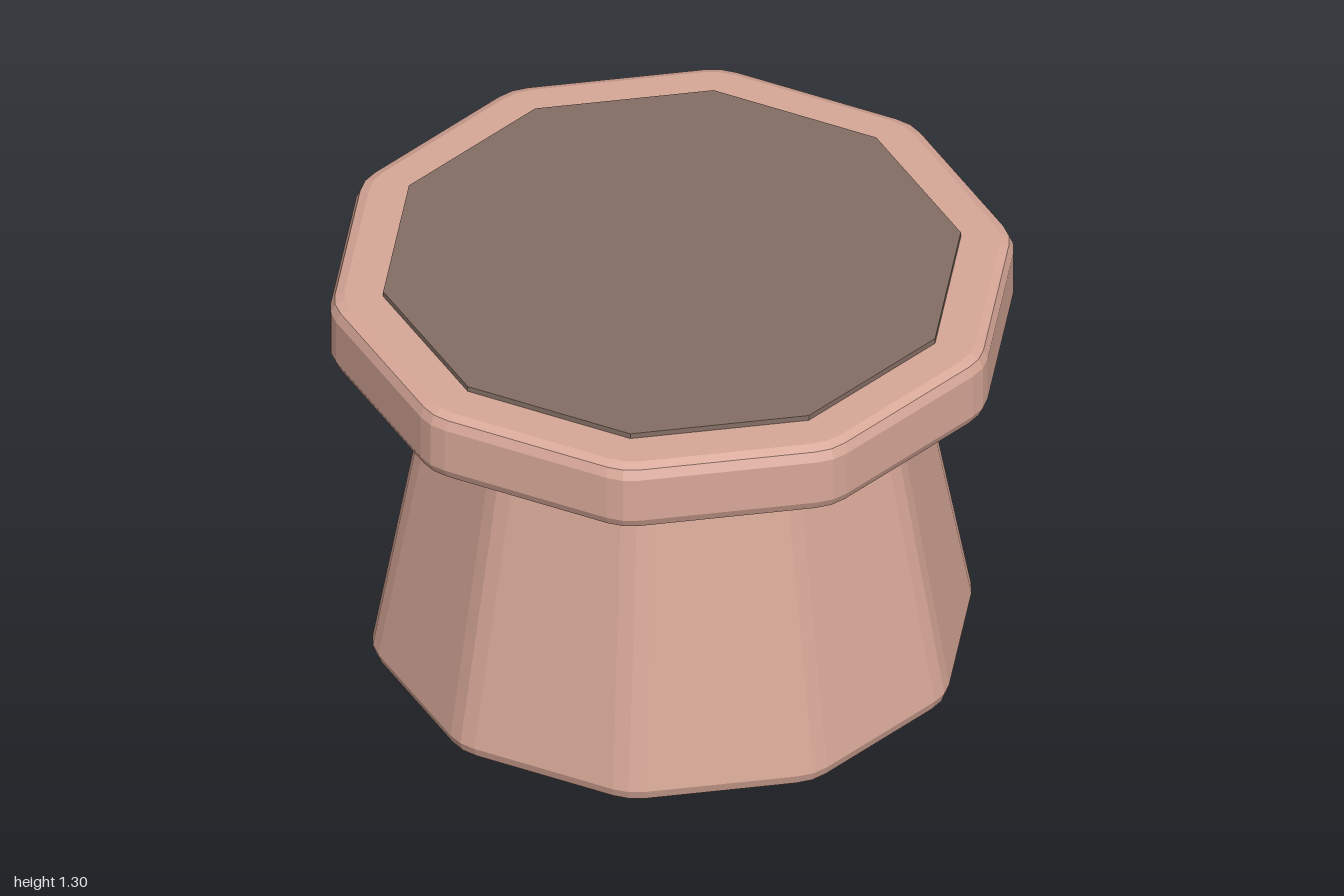
import * as THREE from 'three';

const SIDES = 10;

// One decagon cross-section with softened corners; a corner points at +z.
function ring(radius, y, soft) {
  const corner = (i) => {
    const a = (i / SIDES) * Math.PI * 2;
    return new THREE.Vector3(Math.sin(a) * radius, y, Math.cos(a) * radius);
  };
  const points = [];
  for (let i = 0; i < SIDES; i++) {
    const c = corner(i);
    const before = c.clone().add(corner(i - 1).sub(c).setLength(soft));
    const after = c.clone().add(corner(i + 1).sub(c).setLength(soft));
    points.push(...new THREE.QuadraticBezierCurve3(before, c, after).getPoints(2));
  }
  return points;
}

// Closed faceted solid through [radius, y] sections, listed bottom to top.
function decagonSolid(profile, soft) {
  const rings = profile.map(([r, y]) => ring(r, y, soft));
  const n = rings[0].length;
  const pos = [];
  const tri = (...pts) => pts.forEach((p) => pos.push(p.x, p.y, p.z));
  const last = rings.length - 1;
  const bottom = new THREE.Vector3(0, profile[0][1], 0);
  const top = new THREE.Vector3(0, profile[last][1], 0);
  for (let i = 0; i < n; i++) {
    const j = (i + 1) % n;
    for (let k = 0; k < last; k++) {
      const lo = rings[k], hi = rings[k + 1];
      tri(lo[i], lo[j], hi[j]);
      tri(lo[i], hi[j], hi[i]);
    }
    tri(bottom, rings[0][j], rings[0][i]);
    tri(top, rings[last][i], rings[last][j]);
  }
  const geometry = new THREE.BufferGeometry();
  geometry.setAttribute('position', new THREE.Float32BufferAttribute(pos, 3));
  geometry.computeVertexNormals();
  return geometry;
}

export function createModel() {
  const group = new THREE.Group();

  const clay = new THREE.MeshStandardMaterial({ color: 0xd8a898 });
  clay.name = 'clay pink';
  const soil = new THREE.MeshStandardMaterial({ color: 0x846e64 });
  soil.name = 'soil brown';

  const add = (name, geometry, material) => {
    const mesh = new THREE.Mesh(geometry, material);
    mesh.name = name;
    group.add(mesh);
    return mesh;
  };

  // Tapered pot body with a small bevel at the foot
  add('potBody', decagonSolid([
    [0.85, 0], [0.873, 0.015], [0.883, 0.045], [0.69, 1.1],
  ], 0.05), clay);

  // Overhanging rim, bevelled above and below
  add('potRim', decagonSolid([
    [0.965, 1.065], [0.993, 1.077], [1.006, 1.105],
    [1.006, 1.248], [0.993, 1.277], [0.965, 1.288],
  ], 0.05), clay);

  // Soil disc lying just proud of the rim
  const disc = add('soilDisc', new THREE.CylinderGeometry(0.845, 0.845, 0.04, SIDES), soil);
  disc.position.y = 1.285;
  soil.flatShading = true;

  return group;
}
